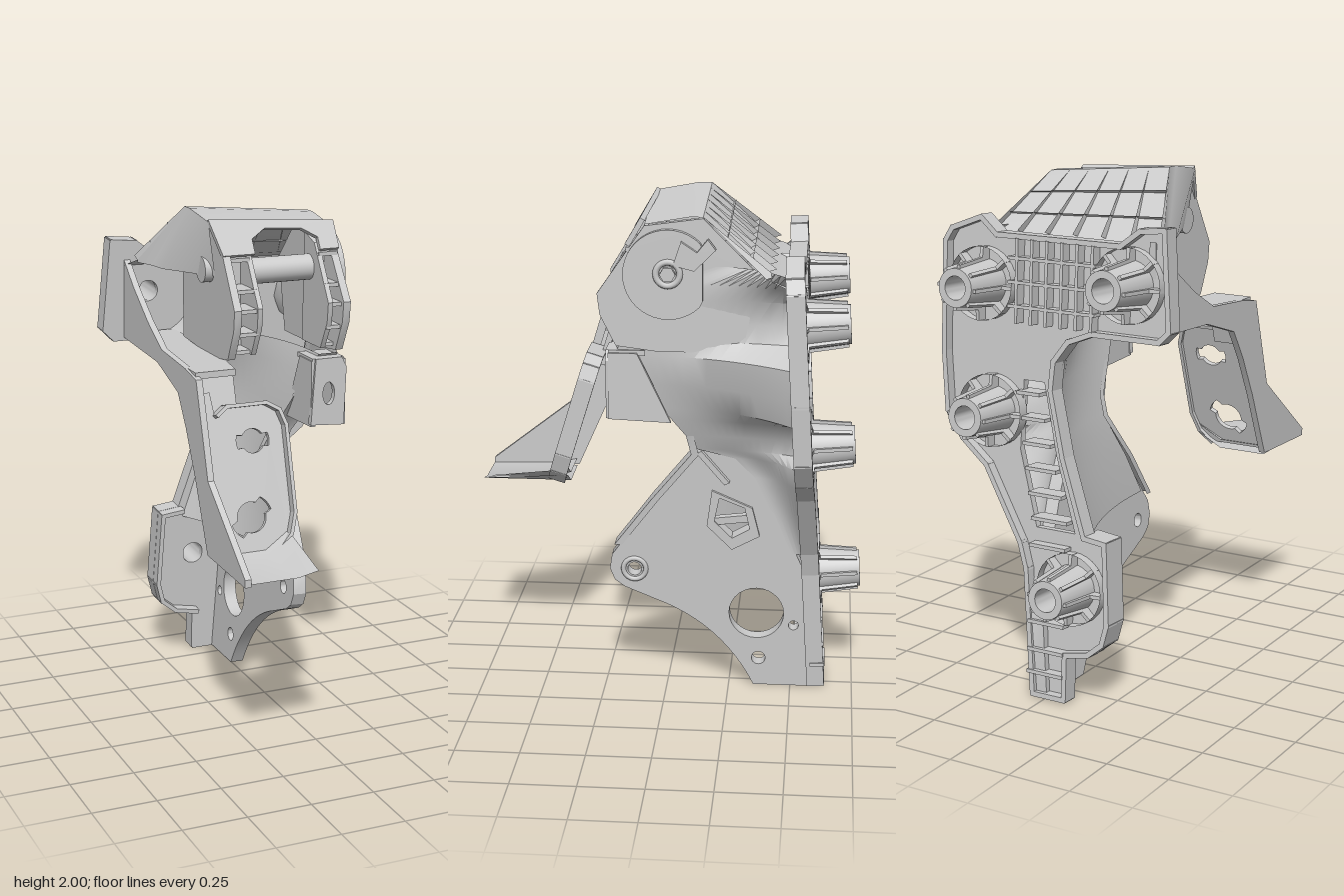
import * as THREE from 'three';
import { toCreasedNormals } from 'three/addons/utils/BufferGeometryUtils.js';

const mat = new THREE.MeshStandardMaterial({ color: 0xcccccc, side: THREE.DoubleSide });
const V2 = (p) => new THREE.Vector2(p[0], p[1]);

function add(parent, name, geo, x = 0, y = 0, z = 0) {
  const m = new THREE.Mesh(geo, mat);
  m.name = name;
  m.position.set(x, y, z);
  parent.add(m);
  return m;
}
const box = (parent, name, w, h, d, x, y, z) => add(parent, name, new THREE.BoxGeometry(w, h, d), x, y, z);
const oval = (x, y, rx, ry = rx, n = 28) => Array.from({ length: n }, (_, i) => {
  const a = i / n * Math.PI * 2;
  return [x + rx * Math.cos(a), y + ry * Math.sin(a)];
});
// Round hole with two opposite lugs
const keyed = (x, y, r, turn) => Array.from({ length: 48 }, (_, i) => {
  const a = i / 48 * Math.PI * 2, k = Math.abs(Math.cos(a - turn)) > 0.9 ? 1.45 : 1;
  return [x + r * k * Math.cos(a), y + r * k * Math.sin(a)];
});
function extrude(points, depth, holes = []) {
  const s = new THREE.Shape(points.map(V2));
  holes.forEach((h) => s.holes.push(new THREE.Path(h.map(V2))));
  return toCreasedNormals(new THREE.ExtrudeGeometry(s, { depth, bevelEnabled: false }), 0.5);
}
// Plate drawn in (z, y); its outer face lies at x and it thickens towards -x
function sidePlate(parent, name, points, x, t, holes) {
  const m = add(parent, name, extrude(points, t, holes), x, 0, 0);
  m.rotation.y = -Math.PI / 2;
  return m;
}
// Thin walls standing along a path in the xy plane
function walls(parent, name, pts, z, d, t = 0.018, closed = false) {
  const n = closed ? pts.length : pts.length - 1;
  for (let i = 0; i < n; i++) {
    const [a, b] = pts[i], [c, e] = pts[(i + 1) % pts.length];
    const w = box(parent, name, Math.hypot(c - a, e - b) + t * 0.6, t, d, (a + c) / 2, (b + e) / 2, z);
    w.rotation.z = Math.atan2(e - b, c - a);
  }
}
// Surface through rows of 3D points
function loft(rows) {
  const pos = rows.flat(2), idx = [], n = rows[0].length;
  for (let i = 0; i < rows.length - 1; i++) for (let j = 0; j < n - 1; j++) {
    const a = i * n + j;
    idx.push(a, a + n, a + 1, a + 1, a + n, a + n + 1);
  }
  const g = new THREE.BufferGeometry();
  g.setAttribute('position', new THREE.Float32BufferAttribute(pos, 3));
  g.setIndex(idx);
  return toCreasedNormals(g, 0.6);
}
// Sweeping skin: each row is [y, front z, front x, back x]
const skin = (rows, pow) => loft(rows.map(([y, zf, xf, xb]) => Array.from({ length: 15 }, (_, i) => {
  const t = i / 14, zb = -0.59 + 0.06 * y;
  return [xf + (xb - xf) * t ** pow, y, zf + (zb - zf) * t];
})));

const bosses = [[-0.31, 1.62], [0.32, 1.57], [0.27, 1.09], [-0.1, 0.45]];

function mountingFlange(root) {
  const g = new THREE.Group();
  g.name = 'mountingFlange';
  g.rotation.x = 0.06;
  g.position.y = -0.036;
  root.add(g);
  const edge = [[-0.46, 1.83], [-0.36, 1.82], [-0.28, 1.76], [0.25, 1.76], [0.32, 1.82], [0.45, 1.77], [0.48, 1.72],
    [0.48, 1.3], [0.46, 1.07], [0.39, 0.97], [0.28, 0.88], [0.12, 0.6], [0.09, 0.5], [0.05, 0.01], [-0.09, 0.01], [-0.09, 0.19],
    [-0.19, 0.21], [-0.25, 0.26], [-0.27, 0.34], [-0.25, 0.65], [-0.16, 0.66], [-0.06, 0.95], [0, 1.2],
    [-0.01, 1.31], [-0.07, 1.39], [-0.17, 1.43], [-0.45, 1.43], [-0.49, 1.47]];
  const channel = [[-0.1, 0.66], [0.07, 0.66], [0.15, 0.95], [0.14, 1.22], [0.05, 1.22], [-0.01, 0.95]];
  const bores = bosses.map(([x, y], i) => oval(x, y, 0.043, i === 3 ? 0.06 : 0.043));
  add(g, 'flangeSheet', extrude(edge, 0.03, [channel, ...bores]), 0, 0, -0.6);
  walls(g, 'flangeRim', edge, -0.605, 0.07, 0.02, true);
  walls(g, 'footLip', edge.slice(15, 21), -0.56, 0.07, 0.018);
  // Tapered hollow bosses with stiffening fins
  const cone = [[0.045, 0], [0.095, 0], [0.073, 0.23], [0.045, 0.23], [0.045, 0]].map(V2);
  const bossGeo = toCreasedNormals(new THREE.LatheGeometry(cone, 28), 0.6);
  for (const [x, y] of bosses) {
    add(g, 'boss', bossGeo, x, y, -0.57).rotation.x = -Math.PI / 2;
    add(g, 'bossCollar', new THREE.CylinderGeometry(0.14, 0.14, 0.05, 32, 1, true), x, y, -0.615).rotation.x = Math.PI / 2;
    for (let i = 0; i < 8; i++) {
      const fin = add(g, 'bossFin', extrude([[0.06, 0], [0.14, 0], [0.14, 0.06], [0.1, 0.065], [0.085, 0.21], [0.06, 0.21]], 0.014), x, y, -0.58);
      fin.rotation.set(-Math.PI / 2, i * Math.PI / 4, 0);
    }
  }
  // Rib grid between the upper bosses
  for (let i = 0; i < 6; i++) walls(g, 'gridRib', [[-0.17 + i * 0.065, 1.44], [-0.17 + i * 0.065, 1.75]], -0.615, 0.06, 0.012);
  for (const y of [1.5, 1.59, 1.68]) walls(g, 'gridRib', [[-0.18, y], [0.19, y]], -0.615, 0.06, 0.012);
  // Ladder ribs in the open channel and the foot
  for (let i = 0; i < 6; i++) {
    const y = 0.7 + i * 0.095, c = -0.01 + 0.11 * (y - 0.66) / 0.5;
    box(g, 'channelRib', 0.16 - 0.06 * i / 5, 0.014, 0.08, c, y, -0.59);
  }
  for (const y of [0.1, 0.19, 0.3, 0.6]) walls(g, 'footRib', [[-0.08, y], [0.07, y]], -0.615, 0.06, 0.014);
  // Pocket wall around the ear hole
  const pocket = add(g, 'earPocket', new THREE.CylinderGeometry(0.2, 0.19, 0.32, 32, 1, true, -0.2, Math.PI * 0.8), -0.3, 1.62, -0.42);
  pocket.rotation.x = Math.PI / 2;
}

function hood(root) {
  const g = new THREE.Group();
  g.name = 'hood';
  root.add(g);
  // Roof sections: [y, z, right x, left x]
  const path = [[1.72, -0.48, -0.42, 0.4], [1.76, -0.39, -0.38, 0.35], [2.0, -0.15, -0.27, 0.25], [2.0, -0.1, -0.27, 0.25], [1.97, 0.07, -0.26, 0.25]];
  const across = (y, z, a, b, u) => [a + (b - a) * u, y - 0.045 * u * Math.min(1, (y - 1.7) / 0.2), z];
  add(g, 'roof', loft(path.map((p) => [0, 0.5, 1].map((u) => across(...p, u)))));
  // Flared flank from the roof edge out towards the ear
  add(g, 'roofFlank', loft([path.slice(1).map((p) => across(...p, 0)),
    [[-0.38, 1.75, -0.39], [-0.35, 1.75, -0.3], [-0.34, 1.75, -0.22], [-0.23, 1.76, 0.06]]]));
  // Raised ribs on the sloping rear of the roof
  for (let i = 0; i < 7; i++) {
    const u = i / 6, a = across(...path[1], u), b = across(...path[2], u);
    const up = (p) => [p[0], p[1] + 0.012, p[2] - 0.035];
    add(g, 'roofRib', loft([[a, up(a)], [b, b]]));
  }
  for (const k of [0.3, 0.65]) {
    const p = path[1].map((v, i) => v + (path[2][i] - v) * k);
    add(g, 'roofCrossRib', loft([0, 1].map((u) => {
      const q = across(...p, u);
      return [q, [q[0], q[1] + 0.012, q[2] - 0.03 * (1 - k)]];
    })));
  }
  // Front face with a notch over the shaft
  const face = [[-0.26, 0], [0.25, -0.035], [0.25, -0.15], [0.17, -0.15], [0.17, -0.1], [0.11, -0.06], [-0.04, -0.05], [-0.1, -0.09], [-0.1, -0.15], [-0.23, -0.15]];
  add(g, 'frontFace', extrude(face, 0.02), 0, 1.97, 0.05).rotation.x = -0.53;
  // Cheeks and the doubled fork arms
  const cheek = (top, ...back) => [[-0.15, top], [0.07, top - 0.03], [0.25, 1.66], [0.24, 1.58], [0.18, 1.46], [0.02, 1.44], ...back];
  sidePlate(g, 'rightCheek', cheek(1.99, [-0.28, 1.46], [-0.28, 1.86]), -0.2, 0.03);
  sidePlate(g, 'leftCheek', cheek(1.95, [-0.3, 1.44], [-0.36, 1.74]), 0.25, 0.03);
  const arm = [[0.02, 1.9], [0.11, 1.87], [0.24, 1.66], [0.23, 1.58], [0.17, 1.47], [0.0, 1.47]];
  for (const [x, c] of [[-0.11, -0.16], [0.18, 0.205]]) {
    sidePlate(g, 'forkArm', arm, x, 0.02);
    for (const [y, z] of [[1.83, 0.08], [1.72, 0.14], [1.65, 0.17], [1.56, 0.16], [1.48, 0.1]]) box(g, 'forkRib', 0.08, 0.015, 0.12, c, y, z);
    box(g, 'forkWeb', 0.09, 0.38, 0.02, c, 1.66, 0.06);
  }
  const alongX = (name, r, len, x, y, z, n = 32) => {
    add(g, name, new THREE.CylinderGeometry(r, r, len, n), x, y, z).rotation.z = Math.PI / 2;
  };
  alongX('shaft', 0.05, 0.32, 0.03, 1.77, 0.06);
  alongX('pivotCap', 0.05, 0.04, -0.245, 1.78, 0);
  // Stop plate with hub and leaf on the outer cheek
  const stop = oval(-0.02, 1.74, 0.17, 0.17, 40).map(([z, y]) => [Math.max(z, -0.15), y]);
  sidePlate(g, 'stopPlate', stop, 0.275, 0.03);
  alongX('stopHub', 0.03, 0.06, 0.265, 1.745, -0.02, 6);
  add(g, 'hubRing', new THREE.TorusGeometry(0.045, 0.012, 8, 28), 0.28, 1.745, -0.02).rotation.y = Math.PI / 2;
  sidePlate(g, 'stopLeaf', [[-0.04, 1.78], [-0.07, 1.87], [-0.13, 1.83], [-0.17, 1.88], [-0.2, 1.84], [-0.12, 1.76]], 0.295, 0.03);
}

function body(root) {
  const g = new THREE.Group();
  g.name = 'bodyWeb';
  root.add(g);
  // Outer skin draws inwards around the two bolt pockets
  add(g, 'outerSkin', skin([[1.77, -0.2, 0.25, 0.45], [1.7, 0, 0.25, 0.34], [1.64, 0.1, 0.25, 0.27], [1.55, 0.17, 0.24, 0.25], [1.48, 0.17, 0.23, 0.28],
    [1.42, 0.17, 0.23, 0.44], [1.3, 0.1, 0.21, 0.45], [1.2, 0.0, 0.19, 0.44], [1.15, -0.03, 0.175, 0.26], [1.08, -0.08, 0.15, 0.2], [1.02, -0.12, 0.125, 0.2],
    [0.98, -0.27, 0.11, 0.28], [0.9, -0.35, 0.105, 0.29], [0.75, -0.42, 0.095, 0.19], [0.58, -0.5, 0.085, 0.1]], 2.4));
  add(g, 'innerSkin', skin([[1.45, 0.15, 0.15, -0.1], [1.36, 0.12, 0.12, -0.04], [1.2, 0, 0.09, 0], [1.0, -0.1, 0.05, -0.04],
    [0.8, 0.04, 0.03, -0.1], [0.62, 0.15, 0.02, -0.16]], 2.2));
  // Rim joining both skins along the front
  const rim = [[1.45, 0.17, 0.15, 0.23], [1.2, 0, 0.09, 0.19], [1.08, -0.09, 0.06, 0.15], [1.0, -0.11, 0.03, 0.14], [0.8, 0.05, 0.01, 0.11], [0.6, 0.2, 0.01, 0.09]];
  add(g, 'frontRim', loft(rim.map(([y, z, a, b]) => [[a, y, z - 0.02], [a, y, z + 0.01], [b, y, z + 0.01], [b, y, z - 0.02]])));
  // Clevis bracket
  const front = [[0.1, 1.18], [0.24, 1.17], [0.25, 1.4], [0.23, 1.44], [0.12, 1.44]];
  add(g, 'clevisFront', extrude(front, 0.025, [oval(0.175, 1.3, 0.025, 0.045)]), 0, 0, 0.195);
  const flank = [[0.21, 1.43], [0.21, 1.17], [-0.03, 1.16], [0.1, 1.43]];
  sidePlate(g, 'clevisSide', flank, 0.25, 0.02);
  sidePlate(g, 'clevisSide', flank, 0.125, 0.02);
  box(g, 'clevisTop', 0.13, 0.02, 0.14, 0.175, 1.43, 0.14);
}

function lowerPlate(root) {
  const g = new THREE.Group();
  g.name = 'lowerPlate';
  g.rotation.z = -0.06;
  root.add(g);
  const curve = new THREE.QuadraticBezierCurve(V2([-0.35, 0]), V2([-0.22, 0.27]), V2([0.05, 0.37])).getPoints(12).map((p) => [p.x, p.y]);
  const outline = [[-0.62, 0], ...curve, [0.17, 0.42], [0.21, 0.45], [0.23, 0.5], [0.22, 0.56], [-0.1, 1.0], [-0.14, 1.02],
    [-0.26, 1.0], [-0.35, 0.92], [-0.43, 0.78], [-0.53, 0.55], [-0.61, 0.38]];
  const windowHole = [[-0.21, 0.82], [-0.19, 0.72], [-0.26, 0.65], [-0.33, 0.69], [-0.31, 0.78]];
  sidePlate(g, 'plate', outline, 0.05, 0.055, [oval(-0.36, 0.32, 0.11), oval(-0.51, 0.27, 0.02), oval(-0.37, 0.12, 0.028), oval(0.13, 0.5, 0.028), windowHole]);
  sidePlate(g, 'windowLip', [[-0.18, 0.85], [-0.16, 0.7], [-0.26, 0.6], [-0.37, 0.66], [-0.34, 0.78]], 0.062, 0.02, [windowHole]);
  sidePlate(g, 'windowBar', [[-0.18, 0.7], [-0.18, 0.73], [-0.34, 0.75], [-0.34, 0.72]], 0.055, 0.03);
  add(g, 'pinRing', new THREE.TorusGeometry(0.045, 0.01, 8, 28), 0.05, 0.5, 0.13).rotation.y = Math.PI / 2;
  sidePlate(g, 'fin', [[-0.12, 1.01], [-0.14, 1.02], [-0.25, 0.89], [-0.23, 0.88]], 0.075, 0.04);
}

function pedal(root) {
  const g = new THREE.Group();
  g.name = 'pedalArm';
  root.add(g);
  // Side wall running from the flange down to the pad
  sidePlate(g, 'sideWall', [[-0.5, 1.78], [-0.36, 1.66], [-0.2, 1.55], [-0.05, 1.47], [0.2, 1.45], [0.31, 1.43], [0.42, 1.07], [0.77, 0.8], [0.77, 0.77],
    [0.41, 0.78], [0.29, 1.05], [0.2, 1.22], [0.12, 1.34], [-0.1, 1.41], [-0.5, 1.43]], -0.385, 0.025);
  add(g, 'shelf', extrude([[-0.4, 0.47], [-0.2, 0.47], [-0.2, 0.0], [-0.24, -0.28], [-0.4, -0.28]], 0.025), 0, 1.425, 0).rotation.x = -Math.PI / 2;
  box(g, 'strap', 0.15, 0.2, 0.025, -0.315, 1.35, 0.265).rotation.x = -0.3;
  // Pad with keyed holes and a raised rim
  const pad = new THREE.Group();
  pad.name = 'pad';
  pad.position.set(0, 1.31, 0.29);
  pad.rotation.x = -0.3;
  g.add(pad);
  const edge = [[-0.4, 0.06], [-0.35, 0.06], [-0.34, -0.03], [-0.3, 0], [-0.14, 0], [-0.09, -0.03], [-0.07, -0.09], [-0.075, -0.42], [-0.1, -0.5], [-0.15, -0.55], [-0.4, -0.55]];
  add(pad, 'padSheet', extrude(edge, 0.02, [keyed(-0.2, -0.136, 0.046, 0), keyed(-0.24, -0.42, 0.058, 0.6)]));
  walls(pad, 'padRim', edge.slice(2, 10), 0.02, 0.07, 0.014);
  add(g, 'toeFloor', loft([[-0.4, 0.785], [-0.2, 0.785], [-0.1, 0.84]].map(([x, y], i) =>
    [[x, y + 0.02, 0.42], [x, y, 0.5], [x + [0, 0, -0.02][i], 0.78 + (y - 0.785) * 0.3, 0.77], [x, y - 0.015, 0.42]])));
}

export function createModel() {
  const root = new THREE.Group();
  root.name = 'pedalBracket';
  [mountingFlange, hood, body, lowerPlate, pedal].forEach((build) => build(root));
  return root;
}
